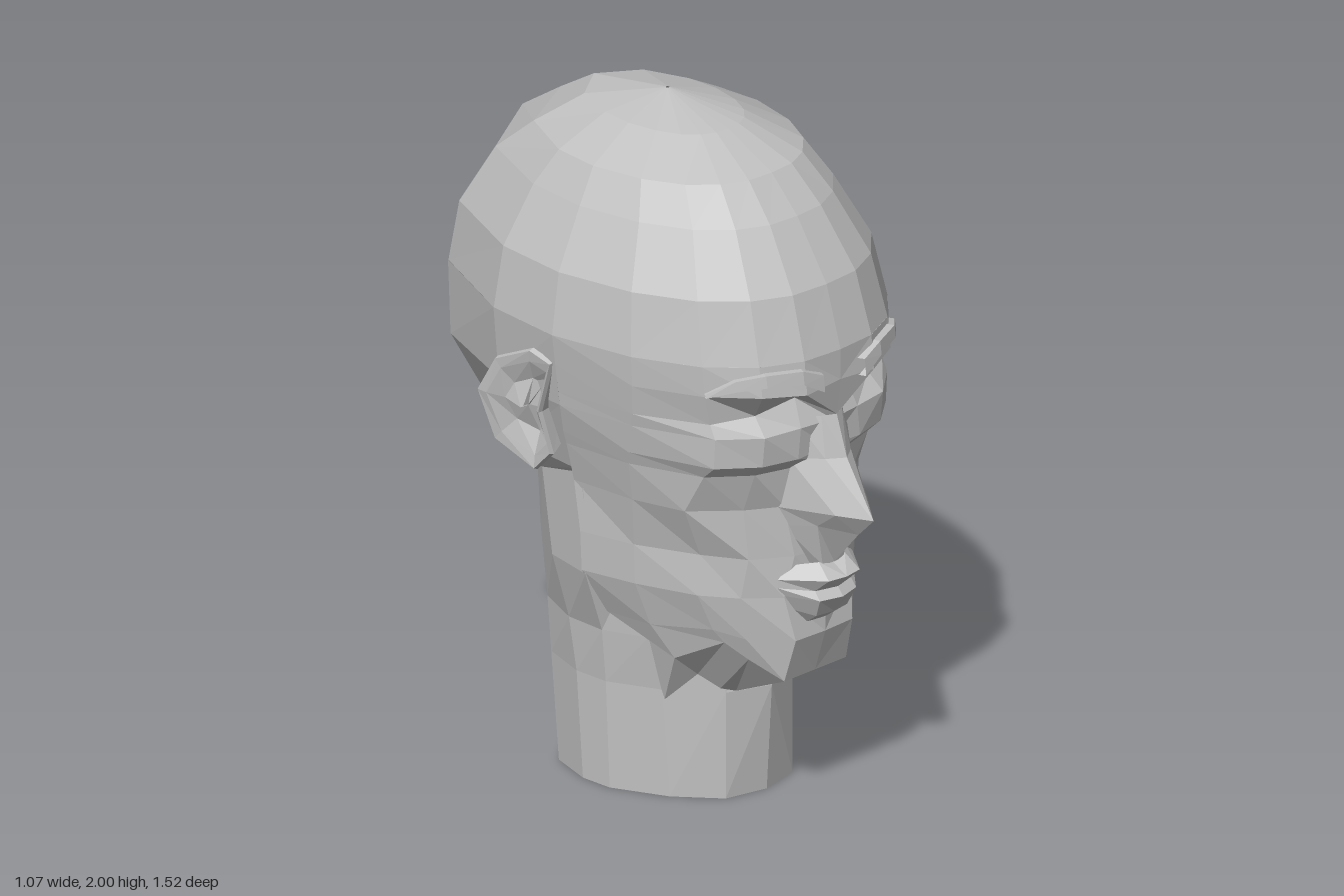
import * as THREE from 'three';

const skin = new THREE.MeshStandardMaterial({ color: 0xc0c0c0, flatShading: true, side: THREE.DoubleSide });
skin.name = 'plain grey';

// Skins a list of equally long point rows, top row first; diagonals mirror about the middle.
function loft(name, rows, { closed = false, cap = false } = {}) {
  const out = [];
  const n = rows[0].length;
  for (let i = 0; i < rows.length - 1; i++) {
    for (let j = 0; j < (closed ? n : n - 1); j++) {
      const k = (j + 1) % n;
      const a = rows[i][j], b = rows[i][k], c = rows[i + 1][j], d = rows[i + 1][k];
      if (j < Math.floor(n / 2)) out.push(...a, ...c, ...d, ...a, ...d, ...b);
      else out.push(...a, ...c, ...b, ...b, ...c, ...d);
    }
  }
  if (cap) {
    const last = rows[rows.length - 1];
    for (let j = 1; j < n - 1; j++) out.push(...last[0], ...last[j + 1], ...last[j]);
  }
  const geo = new THREE.BufferGeometry();
  geo.setAttribute('position', new THREE.Float32BufferAttribute(out, 3));
  geo.computeVertexNormals();
  const mesh = new THREE.Mesh(geo, skin);
  mesh.name = name;
  return mesh;
}

// A row is [y, [x, z, dy], ...] for the left half.
const half = ([y, ...pts]) => pts.map(([x, z, dy = 0]) => [x, y + dy, z]);
const flip = (pts) => pts.map(([x, y, z]) => [-x, y, z]).reverse();
const frontRow = (r) => { const h = half(r); return [...flip(h.slice(1)), ...h]; };
const backRow = (r) => { const h = half(r); return [...h, ...flip(h.slice(0, -1))]; };
const ringRow = (r) => { const h = half(r); return [...h, ...flip(h.slice(1, -1))]; };

function cranium() {
  const outline = [[0, 1], [0.26, 0.985], [0.5, 0.9], [0.72, 0.735], [0.9, 0.456],
    [1, 0.074], [0.96, -0.28], [0.68, -0.73], [0, -1]];
  const mid = -0.05;
  // height, half width, front, back
  const levels = [[2, 0.005, -0.045, -0.055], [1.95, 0.17, 0.19, -0.34], [1.87, 0.32, 0.36, -0.47],
    [1.77, 0.38, 0.46, -0.62], [1.6, 0.47, 0.575, -0.73], [1.42, 0.5, 0.63, -0.76]];
  return loft('cranium', levels.map(([y, w, f, b]) => ringRow([y, ...outline.map(([u, v]) =>
    [u * w, mid + v * (v > 0 ? f - mid : mid - b)])])), { closed: true });
}

function occiput() {
  return loft('backOfSkull', [
    [1.42, [0.5, 0], [0.48, -0.25], [0.34, -0.57], [0, -0.76]],
    [1.2, [0.47, 0], [0.46, -0.25], [0.34, -0.56], [0, -0.72]],
    [0.99, [0.41, 0], [0.39, -0.25], [0.27, -0.46], [0, -0.57]],
    [0.87, [0.4, 0.02, 0.11], [0.34, -0.2, 0.04], [0.25, -0.31], [0, -0.38]],
  ].map(backRow));
}

// Sunken sockets between brow and lower lid, which overhangs the cheek
function upperFace() {
  return loft('browsAndCheeks', [
    [1.42, [0, 0.63], [0.13, 0.62], [0.25, 0.563], [0.36, 0.45], [0.45, 0.26], [0.5, 0]],
    [1.33, [0, 0.63], [0.13, 0.63, -0.01], [0.25, 0.575], [0.355, 0.455], [0.445, 0.26], [0.488, 0]],
    [1.24, [0, 0.615, -0.02], [0.1, 0.55, 0.04], [0.22, 0.515, 0.01], [0.335, 0.455], [0.435, 0.25], [0.475, 0]],
    [1.2, [0, 0.6], [0.11, 0.585], [0.23, 0.565], [0.335, 0.475], [0.43, 0.24], [0.47, 0]],
    [1.11, [0, 0.58], [0.12, 0.585], [0.23, 0.555], [0.335, 0.47], [0.42, 0.22], [0.446, -0.01]],
    [1.07, [0, 0.57], [0.12, 0.545], [0.22, 0.515], [0.33, 0.425], [0.41, 0.21], [0.434, -0.01]],
    [0.95, [0, 0.56], [0.12, 0.53], [0.22, 0.47], [0.34, 0.36], [0.385, 0.2], [0.404, -0.01]],
  ].map(frontRow));
}

function lowerFace() {
  return loft('jaw', [
    [0.95, [0, 0.56], [0.12, 0.53], [0.22, 0.47], [0.34, 0.36], [0.385, 0.2], [0.404, -0.01]],
    [0.8, [0, 0.57], [0.1, 0.55], [0.21, 0.48], [0.28, 0.36], [0.36, 0.18], [0.4, 0.01]],
    [0.68, [0, 0.575], [0.13, 0.54], [0.22, 0.46], [0.29, 0.36], [0.355, 0.18], [0.394, 0.01]],
    [0.55, [0, 0.57], [0.11, 0.565], [0.2, 0.46], [0.25, 0.38, 0.02], [0.315, 0.2], [0.335, 0.05]],
    [0.42, [0, 0.53], [0.12, 0.53], [0.18, 0.45, 0.06], [0.225, 0.4, 0.11], [0.27, 0.25, 0.03], [0.27, 0.06, 0.08]],
    [0.33, [0, 0.36], [0.1, 0.32, -0.01], [0.15, 0.31, 0.01], [0.19, 0.26, 0.05], [0.235, 0.175, -0.04], [0.24, 0.08, 0.07]],
  ].map(frontRow));
}

function neck() {
  return loft('neck', [
    [0.87, [0, 0.2], [0.15, 0.18], [0.3, 0.1], [0.4, 0.02, 0.11], [0.34, -0.2, 0.04], [0.25, -0.31], [0, -0.38]],
    [0.67, [0, 0.25], [0.15, 0.22], [0.3, 0.1], [0.39, 0.02], [0.36, -0.14], [0.26, -0.285], [0, -0.345]],
    [0.48, [0, 0.32], [0.15, 0.28], [0.27, 0.15], [0.325, 0.02], [0.325, -0.11], [0.265, -0.255], [0, -0.348]],
    [0.32, [0, 0.36], [0.13, 0.31], [0.24, 0.17], [0.31, 0.02], [0.315, -0.09], [0.27, -0.235], [0, -0.352]],
    [0, [0, 0.34], [0.13, 0.31], [0.23, 0.19], [0.305, 0.03], [0.31, -0.07], [0.27, -0.205], [0, -0.36]],
  ].map(ringRow), { closed: true, cap: true });
}

function nose() {
  return loft('nose', [
    [1.22, [0, 0.615], [0.04, 0.595], [0.1, 0.54]],
    [1.1, [0, 0.655], [0.05, 0.62], [0.115, 0.54]],
    [0.94, [0, 0.76], [0.065, 0.675, 0.01], [0.135, 0.52, 0.01]],
    [0.88, [0, 0.7], [0.07, 0.61, 0.02], [0.12, 0.52, 0.01]],
    [0.77, [0, 0.605], [0.04, 0.6], [0.06, 0.54]],
  ].map(frontRow));
}

function lips() {
  return loft('lips', [
    [0.78, [0, 0.595, -0.01], [0.05, 0.595], [0.11, 0.535, -0.01]],
    [0.74, [0, 0.655], [0.06, 0.645], [0.145, 0.53, -0.005]],
    [0.7, [0, 0.62], [0.07, 0.6], [0.145, 0.53, 0.01]],
    [0.675, [0, 0.64], [0.07, 0.62], [0.135, 0.53, 0.01]],
    [0.62, [0, 0.605], [0.06, 0.595], [0.11, 0.535, 0.02]],
    [0.59, [0, 0.565], [0.06, 0.555], [0.09, 0.53]],
  ].map(frontRow));
}

// Arched strip standing slightly proud of the forehead
function eyebrow(side) {
  const path = [[0.08, 1.345, 0.645, 0.05], [0.15, 1.38, 0.635, 0.04], [0.25, 1.385, 0.59, 0.035],
    [0.31, 1.37, 0.53, 0.03], [0.36, 1.335, 0.46, 0.01]];
  const rows = path.map(([x, y, z, h]) => [
    [x, y + h / 2, z], [x, y - h / 2, z + 0.005], [x - 0.02, y - h / 2, z - 0.04], [x - 0.02, y + h / 2, z - 0.04],
  ].map(([px, py, pz]) => [side * px, py, pz]));
  if (side < 0) rows.forEach((r) => r.reverse());
  return loft(side > 0 ? 'leftEyebrow' : 'rightEyebrow', rows, { closed: true });
}

// Rim outline swept from the skull out to the rim, then into the hollow
function ear(side) {
  const rim = [[-0.01, 1.33], [-0.08, 1.355], [-0.2, 1.3], [-0.26, 1.19], [-0.22, 1.04], [-0.1, 0.97],
    [-0.03, 1.04], [-0.05, 1.17]];
  const level = (scale, out) => rim.map(([z, y]) => {
    const x = 0.49 - 0.16 * z - 0.25 * Math.max(0, 1.13 - y) + out;
    return [side * x, 1.17 + (y - 1.17) * scale, -0.11 + (z + 0.11) * scale];
  });
  const rows = [level(0.7, -0.1), level(1, -0.01), level(0.97, 0.005), level(0.78, 0), level(0.45, -0.025), level(0.01, -0.02)];
  if (side > 0) rows.forEach((r) => r.reverse());
  return loft(side > 0 ? 'leftEar' : 'rightEar', rows, { closed: true });
}

export function createModel() {
  const head = new THREE.Group();
  head.name = 'head';
  head.add(cranium(), occiput(), upperFace(), lowerFace(), neck(), nose(), lips());
  for (const side of [1, -1]) head.add(eyebrow(side), ear(side));
  return head;
}
